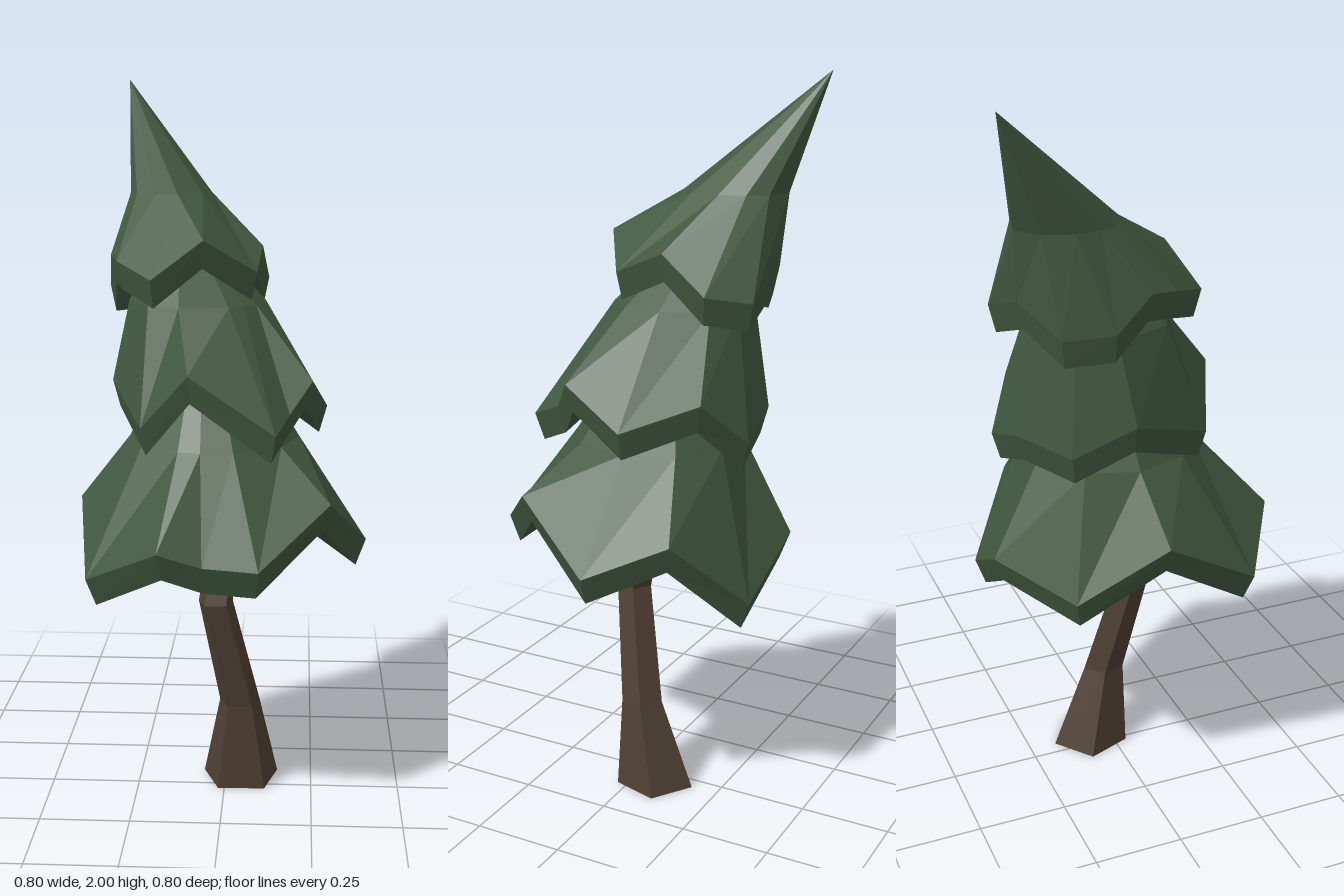
import * as THREE from 'three';

// Joins rings of points (counter-clockwise from above) into one faceted surface
function loft(rings, material, name) {
  const corners = [];
  const addTriangle = (a, b, c) => {
    const area = b.clone().sub(a).cross(c.clone().sub(a)).length();
    if (area > 1e-8) corners.push(a, b, c);
  };
  for (let r = 0; r < rings.length - 1; r++) {
    const lo = rings[r], hi = rings[r + 1];
    for (let i = 0; i < lo.length; i++) {
      const j = (i + 1) % lo.length;
      addTriangle(lo[i], lo[j], hi[j]);
      addTriangle(lo[i], hi[j], hi[i]);
    }
  }
  const geometry = new THREE.BufferGeometry().setFromPoints(corners);
  geometry.computeVertexNormals();
  const mesh = new THREE.Mesh(geometry, material);
  mesh.name = name;
  return mesh;
}

const vec = (x, y, z) => new THREE.Vector3(x, y, z);

// Ring around a centre with radii rx, rz at the given angles
const ring = (c, angles, rx, rz = rx) =>
  angles.map((a) => vec(c.x + Math.cos(a) * rx, c.y, c.z + Math.sin(a) * rz));

// A skirt of foliage: hollow underside, thick ragged hem, shoulder and tip
function foliageTier(name, material, { middle, hem, shoulder, rx, rz, tip }) {
  const upperHem = hem.map((p) => vec(...p));
  const angles = upperHem.map((p) => Math.atan2(p.z - middle.z, p.x - middle.x));
  const lowerHem = upperHem.map((p) => {
    const q = p.clone().lerp(middle, 0.07);
    q.y = p.y - 0.075;
    return q;
  });
  return loft([
    ring(middle, angles, 0),
    ring(middle, angles, 0.1),
    lowerHem,
    upperHem,
    ring(shoulder, angles, rx, rz),
    ring(tip, angles, 0),
  ], material, name);
}

export function createModel() {
  const tree = new THREE.Group();
  tree.name = 'bentPine';
  const needles = new THREE.MeshStandardMaterial({ color: 0x41583f, flatShading: true });
  needles.name = 'needleGreen';
  const bark = new THREE.MeshStandardMaterial({ color: 0x4f4033, flatShading: true });
  bark.name = 'barkBrown';

  // Crooked five-sided trunk, flared at the foot and closed at both ends
  const sides = Array.from({ length: 5 }, (_, i) => 0.9 - (i * Math.PI * 2) / 5);
  const foot = vec(0.045, 0, -0.06);
  const head = vec(0.03, 0.95, -0.06);
  tree.add(loft([
    ring(foot, sides, 0),
    ring(foot, sides, 0.113),
    ring(vec(0.043, 0.25, -0.015), sides, 0.06),
    ring(vec(-0.023, 0.57, 0.045), sides, 0.05),
    ring(head, sides, 0.042),
    ring(head, sides, 0),
  ], bark, 'trunk'));

  tree.add(foliageTier('lowerFoliage', needles, {
    middle: vec(0, 0.9, 0),
    hem: [
      [-0.4, 0.86, 0], [-0.355, 0.7, 0.27], [-0.155, 0.81, 0.4], [-0.04, 0.77, 0.38],
      [0.105, 0.76, 0.383], [0.29, 0.9, 0.22], [0.395, 0.74, -0.02], [0.295, 0.83, -0.225],
      [0.12, 0.64, -0.375], [-0.12, 0.77, -0.39], [-0.32, 0.7, -0.23],
    ],
    shoulder: vec(-0.03, 1.03, -0.03), rx: 0.235,
    tip: vec(-0.06, 1.45, -0.06),
  }));

  tree.add(foliageTier('middleFoliage', needles, {
    middle: vec(-0.03, 1.2, -0.04),
    hem: [
      [-0.315, 1.18, -0.06], [-0.215, 1.09, 0.18], [-0.085, 1.24, 0.235],
      [0.145, 1.09, 0.265], [0.18, 1.13, 0.17], [0.24, 1.21, 0.11], [0.282, 1.11, -0.07],
      [0.17, 1.18, -0.25], [0.05, 1.06, -0.333], [-0.12, 1.12, -0.315], [-0.27, 1.1, -0.22],
    ],
    shoulder: vec(-0.08, 1.4, -0.08), rx: 0.19,
    tip: vec(-0.13, 1.66, -0.16),
  }));

  tree.add(foliageTier('topFoliage', needles, {
    middle: vec(-0.11, 1.54, -0.1),
    hem: [
      [-0.31, 1.53, -0.02], [-0.285, 1.52, 0.06], [-0.185, 1.48, 0.17], [-0.05, 1.58, 0.125],
      [0.088, 1.49, 0.04], [0.1, 1.55, -0.1], [0.115, 1.45, -0.23], [0.04, 1.43, -0.333],
      [-0.16, 1.5, -0.32], [-0.29, 1.43, -0.25], [-0.325, 1.44, -0.12],
    ],
    shoulder: vec(-0.16, 1.69, -0.19), rx: 0.115, rz: 0.145,
    tip: vec(-0.295, 2, -0.4),
  }));
  return tree;
}
